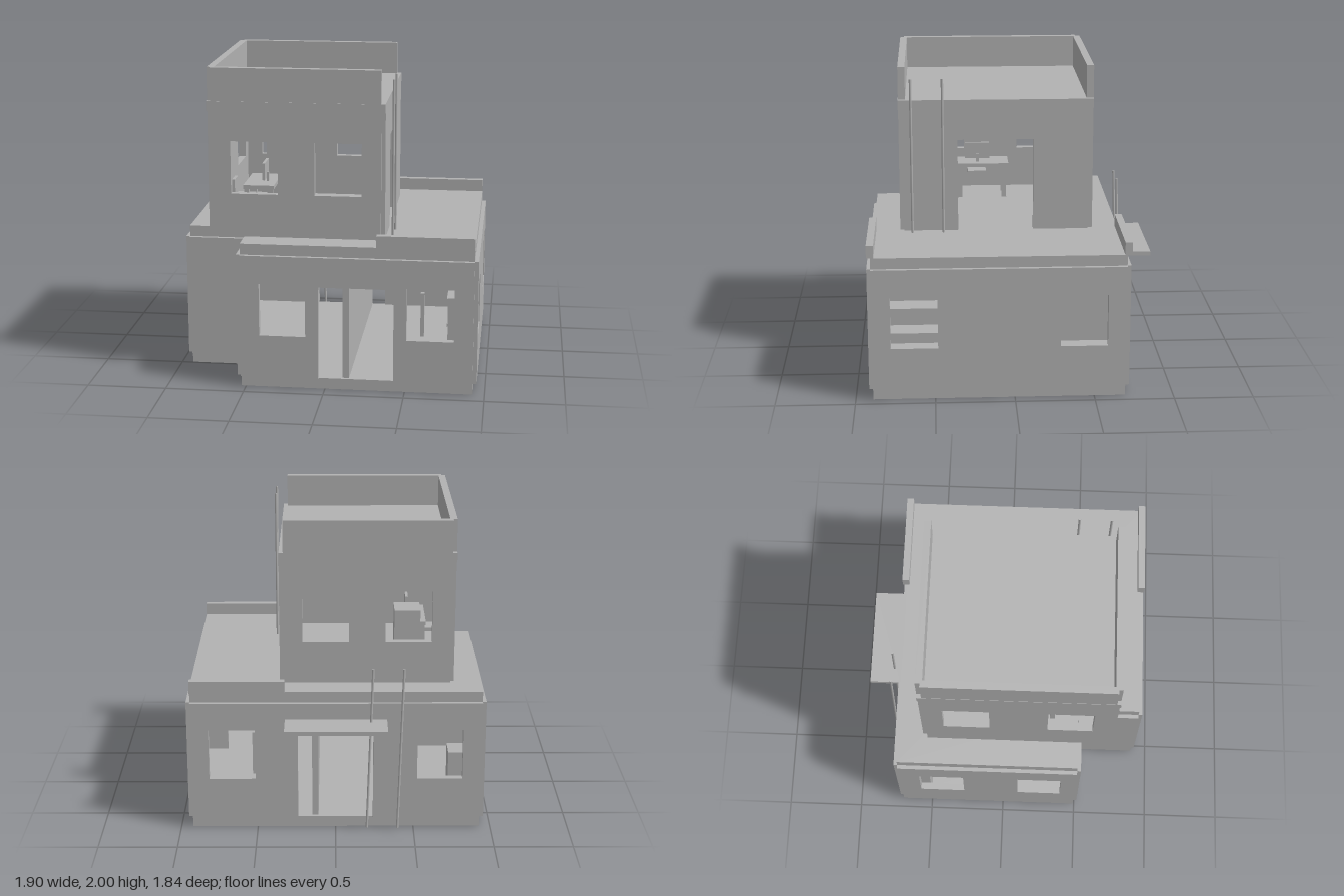
import * as THREE from 'three';

export function createModel() {
  const model = new THREE.Group();
  const plaster = new THREE.MeshStandardMaterial({ color: 0xb2b2b2 });
  plaster.name = 'grey plaster';

  const add = (name, geometry, parent = model) => {
    const mesh = new THREE.Mesh(geometry, plaster);
    mesh.name = name;
    parent.add(mesh);
    return mesh;
  };

  // Box given by its limits on each axis
  const box = (name, x0, x1, y0, y1, z0, z1, parent) => {
    const g = new THREE.BoxGeometry(x1 - x0, y1 - y0, z1 - z0);
    g.translate((x0 + x1) / 2, (y0 + y1) / 2, (z0 + z1) / 2);
    return add(name, g, parent);
  };

  // Wall panel with openings [u0, u1, y0, y1]; openings at the base become doorways
  const T = 0.045;
  const wall = (name, axis, outer, sign, u0, u1, y0, y1, openings = []) => {
    const pts = [[u0, y0]];
    const holes = [];
    for (const [a, b, c, d] of openings) {
      if (c <= y0) pts.push([a, y0], [a, d], [b, d], [b, y0]);
      else holes.push([[a, c], [a, d], [b, d], [b, c]]);
    }
    pts.push([u1, y0], [u1, y1], [u0, y1]);
    const v = (list) => list.map(([x, y]) => new THREE.Vector2(x, y));
    const shape = new THREE.Shape(v(pts));
    shape.holes = holes.map((h) => new THREE.Path(v(h)));
    const g = new THREE.ExtrudeGeometry(shape, { depth: T, bevelEnabled: false });
    if (axis === 'z') g.translate(0, 0, sign > 0 ? outer - T : outer);
    else g.rotateY(-Math.PI / 2).translate(sign > 0 ? outer : outer + T, 0, 0);
    return add(name, g);
  };

  // L-shaped floor plates, the front right corner cut away
  const plan = [[-0.93, -0.695], [0.925, -0.695], [0.925, 0.89], [-0.53, 0.89], [-0.53, 0.49], [-0.93, 0.49]];
  const slab = (name, top, h) => {
    const shape = new THREE.Shape(plan.map(([x, z]) => new THREE.Vector2(x, z)));
    const g = new THREE.ExtrudeGeometry(shape, { depth: h, bevelEnabled: false });
    add(name, g.rotateX(Math.PI / 2).translate(0, top, 0));
  };
  slab('groundSlab', 0.07, 0.07);
  slab('terraceSlab', 0.93, 0.07);

  // Ground floor walls
  const [B, H] = [0.07, 0.86];
  const win = (a, b) => [a, b, 0.345, 0.68];
  wall('groundFrontWall', 'z', 0.915, 1, -0.53, 0.925, B, H,
    [win(-0.41, -0.12), [-0.04, 0.43, B, 0.67], win(0.51, 0.805)]);
  wall('groundBackWall', 'z', -0.72, -1, -0.93, 0.925, B, H,
    [win(-0.81, -0.52), [-0.24, 0.24, B, 0.67], win(0.51, 0.805)]);
  wall('groundLeftWall', 'x', 0.95, 1, -0.695, 0.89, B, H, [win(-0.58, -0.285), win(0.48, 0.775)]);
  wall('groundRightWall', 'x', -0.955, -1, -0.695, 0.49, B, H, [win(-0.56, -0.265), win(0.1, 0.39)]);
  wall('recessFrontWall', 'z', 0.515, 1, -0.93, -0.53, B, H);
  wall('recessSideWall', 'x', -0.555, -1, 0.49, 0.89, B, H);
  box('partition', 0.11, 0.15, B, H, -0.675, 0.87);

  // Terrace parapets and rear canopy
  box('terraceFrontParapet', 0.32, 0.925, 0.93, 1.01, 0.87, 0.915);
  box('terraceBackParapet', 0.32, 0.925, 0.93, 1.01, -0.725, -0.68);
  box('canopy', -0.325, 0.32, 0.725, 0.752, -0.92, -0.72);

  // Upper floor walls
  const [UB, UH] = [0.93, 1.73];
  const upWin = (a, b) => [a, b, 1.205, 1.54];
  const pair = [upWin(-0.61, -0.315), upWin(-0.085, 0.21)];
  wall('upperFrontWall', 'z', 0.715, 1, -0.73, 0.33, UB, UH, pair);
  wall('upperBackWall', 'z', -0.53, -1, -0.73, 0.33, UB, UH, pair);
  wall('upperRightWall', 'x', -0.755, -1, -0.5, 0.69, UB, UH, [upWin(-0.385, -0.09), upWin(0.28, 0.57)]);
  wall('upperLeftWall', 'x', 0.355, 1, -0.5, 0.69, UB, UH, [[-0.145, 0.34, UB, 1.53]]);
  box('overhangFloor', -0.72, -0.53, 0.93, 0.938, 0.49, 0.68);

  // Roof plate and its three-sided parapet
  box('roofSlab', -0.757, 0.355, 1.73, 1.79, -0.53, 0.717);
  wall('roofFrontParapet', 'z', 0.715, 1, -0.73, 0.328, 1.79, 2);
  wall('roofBackParapet', 'z', -0.53, -1, -0.73, 0.328, 1.79, 2);
  wall('roofRightParapet', 'x', -0.755, -1, -0.5, 0.69, 1.79, 2);

  // Slim poles on the terrace and leaning behind the house
  const pole = (name, a, b) => {
    const path = new THREE.LineCurve3(new THREE.Vector3(...a), new THREE.Vector3(...b));
    const p = add(name, new THREE.CylinderGeometry(0.008, 0.008, path.getLength(), 10));
    p.position.copy(path.getPoint(0.5));
    p.quaternion.setFromUnitVectors(new THREE.Vector3(0, 1, 0), path.getTangent(0));
  };
  for (const z of [0.435, 0.635]) pole('terracePole', [0.4, 0.93, z], [0.4, 1.935, z]);
  pole('leaningPole', [-0.395, 0.03, -0.782], [-0.428, 1.1, -0.752]);
  pole('leaningPole', [-0.2, 0.03, -0.775], [-0.235, 1.1, -0.752]);

  // Shelf unit against the ground floor left wall
  const shelf = new THREE.Group();
  shelf.name = 'shelfUnit';
  model.add(shelf);
  for (const z of [0.43, 0.81]) box('shelfSide', 0.76, 0.9, B, 0.6, z - 0.01, z + 0.01, shelf);
  for (const y of [0.25, 0.41, 0.573]) box('shelfBoard', 0.752, 0.9, y, y + 0.018, 0.44, 0.8, shelf);
  box('post', 0.54, 0.565, B, 0.375, -0.02, 0.01);
  box('cornerCabinet', -0.9, -0.72, B, 0.5, -0.66, -0.5);

  // Upper room furniture: desk, screen, chair and cabinet
  const desk = new THREE.Group();
  desk.name = 'desk';
  model.add(desk);
  box('deskTop', -0.6, -0.4, 1.147, 1.172, -0.02, 0.34, desk);
  for (const x of [-0.595, -0.435]) for (const z of [-0.005, 0.3])
    box('deskLeg', x, x + 0.03, 0.93, 1.147, z, z + 0.032, desk);
  box('screen', -0.485, -0.467, 1.193, 1.305, 0.11, 0.278, desk);
  box('screenStand', -0.467, -0.455, 1.172, 1.23, 0.182, 0.202, desk);
  box('chairSeat', -0.67, -0.55, 1.055, 1.08, 0.13, 0.257);
  box('chairBack', -0.69, -0.67, 1.055, 1.187, 0.13, 0.257);
  box('cabinet', -0.54, -0.375, 0.93, 1.38, -0.42, -0.25);

  return model;
}
